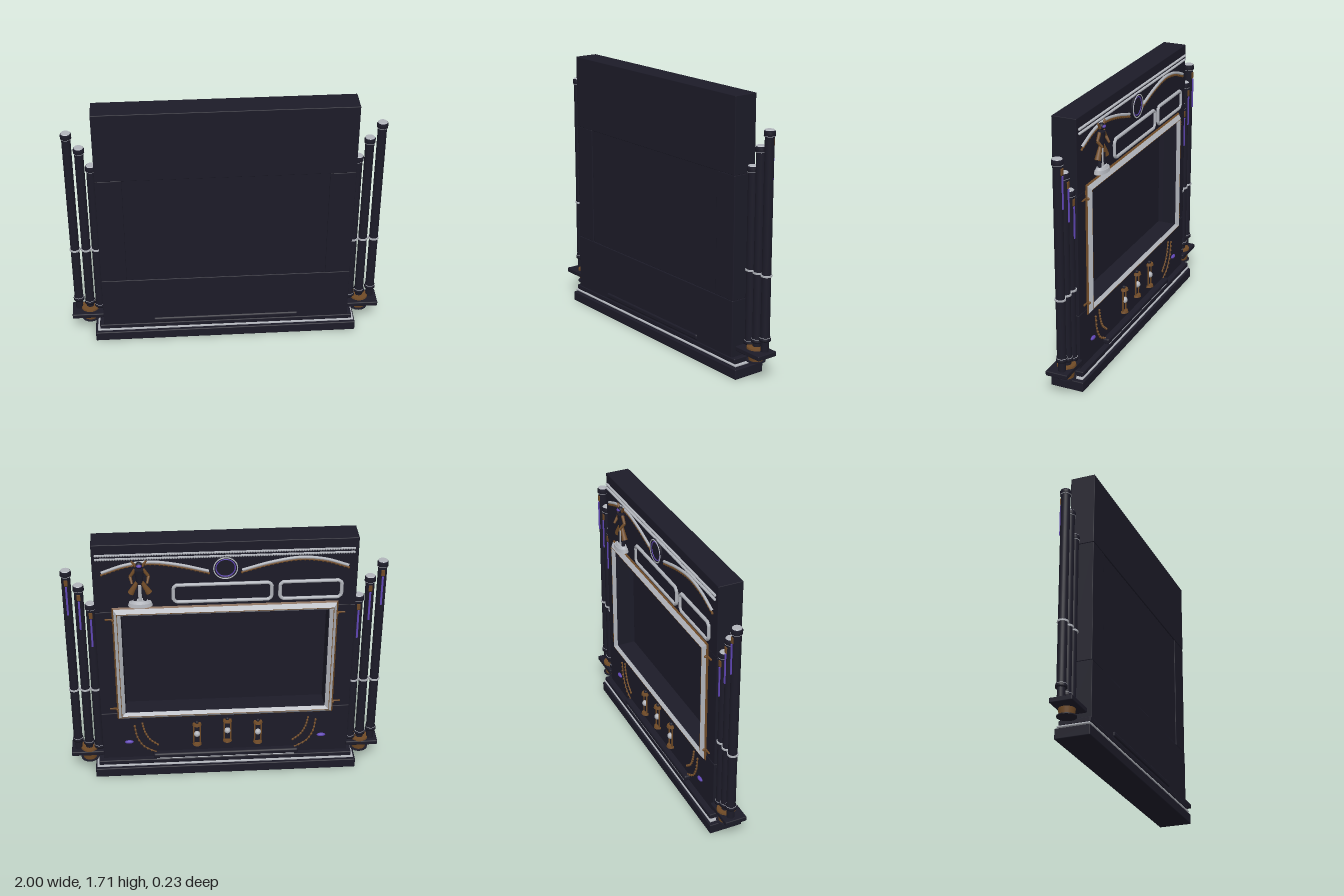
import * as THREE from 'three';
import { mergeGeometries } from 'three/addons/utils/BufferGeometryUtils.js';
import { RoundedBoxGeometry } from 'three/addons/geometries/RoundedBoxGeometry.js';

const mat = (name, hex) => {
  const m = new THREE.MeshStandardMaterial({ color: hex });
  m.name = name;
  return m;
};
const dark = mat('dark casing', 0x1c1b28);
const silver = mat('silver trim', 0xb0b3ba);
const copper = mat('copper trim', 0x6f4a26);
const purple = mat('purple glow', 0x5f45b4);
const V = (x, y, z) => new THREE.Vector3(x, y, z);

export function createModel() {
  const model = new THREE.Group();
  const add = (name, geo, m, x = 0, y = 0, z = 0, parent = model) => {
    const mesh = new THREE.Mesh(geo, m);
    mesh.name = name;
    mesh.position.set(x, y, z);
    parent.add(mesh);
    return mesh;
  };
  // rounded box given by its limits
  const box = (name, m, x0, x1, y0, y1, z0, z1, r = 0.004, parent = model) =>
    add(name, new RoundedBoxGeometry(x1 - x0, y1 - y0, z1 - z0, 2, r), m,
      (x0 + x1) / 2, (y0 + y1) / 2, (z0 + z1) / 2, parent);
  const tube = (name, m, pts, r) =>
    add(name, new THREE.TubeGeometry(new THREE.CatmullRomCurve3(pts), 32, r, 8), m);
  const beads = (name, m, pts, count, r) => {
    const list = new THREE.CatmullRomCurve3(pts).getSpacedPoints(count).map(p =>
      new THREE.SphereGeometry(r, 7, 5).translate(p.x, p.y, p.z));
    return add(name, mergeGeometries(list), m);
  };
  const rod = (name, m, a, b, r0, r1, parent) => {
    const mesh = add(name, new THREE.CylinderGeometry(r1, r0, a.distanceTo(b), 10), m, 0, 0, 0, parent);
    mesh.position.copy(a).lerp(b, 0.5);
    mesh.quaternion.setFromUnitVectors(V(0, 1, 0), b.clone().sub(a).normalize());
    return mesh;
  };

  // plinth
  box('plinth', dark, -0.855, 0.85, 0, 0.065, -0.1, 0.115, 0.006);
  box('plinthCore', dark, -0.82, 0.82, 0.06, 0.1, -0.08, 0.095);
  box('plinthSilverLine', silver, -0.84, 0.84, 0.076, 0.086, -0.094, 0.108, 0.003);
  box('plinthStep', dark, -0.825, 0.825, 0.09, 0.122, -0.09, 0.105, 0.006);
  box('plinthBar', dark, -0.475, 0.47, 0.128, 0.164, -0.092, 0.108, 0.012);
  box('plinthBarLine', silver, -0.45, 0.45, 0.122, 0.13, -0.088, -0.05, 0.003);

  // casing panels around the screen
  box('topPanel', dark, -0.798, 0.795, 1.24, 1.705, -0.055, 0.1);
  box('bottomPanel', dark, -0.798, 0.795, 0.1, 0.478, -0.055, 0.1);
  box('rightPanel', dark, -0.798, -0.635, 0.478, 1.24, -0.053, 0.098);
  box('leftPanel', dark, 0.635, 0.795, 0.478, 1.24, -0.053, 0.098);
  box('screen', dark, -0.636, 0.636, 0.476, 1.242, 0.055, 0.093);

  // screen frame: sloped rectangular rings facing the back
  const ring = (name, m, w0, h0, z0, w1, h1, z1) => {
    const pos = [];
    const c = [[-1, -1], [1, -1], [1, 1], [-1, 1]];
    for (let i = 0; i < 4; i++) {
      const [p, q] = [c[i], c[(i + 1) % 4]];
      const a = [p[0] * w0, p[1] * h0, z0], b = [q[0] * w0, q[1] * h0, z0];
      const a1 = [p[0] * w1, p[1] * h1, z1], b1 = [q[0] * w1, q[1] * h1, z1];
      pos.push(...a, ...a1, ...b1, ...a, ...b1, ...b);
    }
    const g = new THREE.BufferGeometry();
    g.setAttribute('position', new THREE.Float32BufferAttribute(pos, 3));
    g.computeVertexNormals();
    return add(name, g, m, 0, 0.854, 0);
  };
  ring('frameBase', copper, 0.692, 0.42, -0.054, 0.682, 0.41, -0.064);
  ring('frameOuterSlope', silver, 0.682, 0.41, -0.064, 0.664, 0.386, -0.085);
  ring('frameRidge', copper, 0.664, 0.386, -0.085, 0.66, 0.382, -0.085);
  ring('frameInnerSlope', silver, 0.66, 0.382, -0.085, 0.638, 0.364, -0.066);
  ring('frameReturn', dark, 0.638, 0.364, -0.066, 0.634, 0.364, 0.056);
  for (const s of [-1, 1]) for (const y of [0.52, 1.19]) {
    box('frameClip', copper, s * 0.712 - 0.024, s * 0.712 + 0.024, y - 0.004, y + 0.004, -0.062, -0.05, 0.002);
    add('frameBolt', new THREE.SphereGeometry(0.009, 10, 8), copper, s * 0.688, y, -0.07);
  }

  // beaded rails along the top
  for (const y of [1.638, 1.612]) {
    box('topRail', silver, -0.77, 0.77, y - 0.005, y + 0.005, -0.062, -0.05, 0.002);
    beads('topRailBeads', silver, [V(-0.77, y, -0.062), V(0.77, y, -0.062)], 100, 0.008);
  }
  // arched garlands on both sides of the medallion
  for (const s of [-1, 1]) {
    const arch = dy => [[0.74, 1.52], [0.6, 1.568], [0.45, 1.585], [0.28, 1.56], [0.1, 1.51]]
      .map(([x, y]) => V(s * x, y + dy, -0.06));
    tube('garlandBand', silver, arch(0.003), 0.009);
    tube('garlandStem', copper, arch(-0.011), 0.006);
    beads('garlandLeaves', copper, arch(-0.013), 24, 0.008);
  }

  // medallion
  const disc = add('medallion', new THREE.CylinderGeometry(0.07, 0.07, 0.02, 32), dark, 0, 1.535, -0.058);
  disc.rotation.x = Math.PI / 2;
  add('medallionRim', new THREE.TorusGeometry(0.07, 0.01, 8, 32), dark, 0, 1.535, -0.065);
  add('medallionRing', new THREE.TorusGeometry(0.071, 0.004, 8, 32), silver, 0, 1.535, -0.073);
  add('medallionGlow', new THREE.TorusGeometry(0.058, 0.004, 8, 32), purple, 0, 1.535, -0.068);

  // two framed display plates
  for (const [x0, x1] of [[-0.28, 0.315], [-0.705, -0.33]]) {
    const [y0, y1, c] = [1.305, 1.422, 0.018];
    box('displayPlate', dark, x0, x1, y0, y1, -0.06, -0.05);
    const pts = [[x0 + c, y0], [x1 - c, y0], [x1, y0 + c], [x1, y1 - c], [x1 - c, y1], [x0 + c, y1], [x0, y1 - c], [x0, y0 + c]];
    const path = new THREE.CurvePath();
    pts.forEach(([x, y], i) => {
      const [u, v] = pts[(i + 1) % 8];
      path.add(new THREE.LineCurve3(V(x, y, -0.062), V(u, v, -0.062)));
    });
    add('displayFrame', new THREE.TubeGeometry(path, 120, 0.011, 8, true), silver);
  }

  // small figurine on a silver stand
  const fig = new THREE.Group();
  fig.name = 'figurine';
  fig.position.set(0.515, 1.3, -0.075);
  model.add(fig);
  add('figurineStand', new THREE.CylinderGeometry(0.068, 0.075, 0.022, 24).scale(1, 1, 0.55), silver, 0, 0.01, 0, fig);
  add('figurineStep', new THREE.CylinderGeometry(0.045, 0.06, 0.014, 24).scale(1, 1, 0.55), silver, 0, 0.028, 0, fig);
  for (const s of [-1, 1]) {
    rod('figurineLeg', dark, V(s * 0.03, 0.034, 0), V(s * 0.022, 0.11, 0), 0.012, 0.012, fig);
    rod('figurineSkirt', copper, V(s * 0.055, 0.085, 0), V(s * 0.015, 0.16, 0), 0.02, 0.011, fig);
    rod('figurineForearm', copper, V(s * 0.055, 0.2, 0), V(s * 0.045, 0.165, -0.028), 0.01, 0.007, fig);
    rod('figurineUpperArm', copper, V(s * 0.025, 0.245, 0), V(s * 0.055, 0.2, 0), 0.011, 0.009, fig);
    rod('figurineHorn', copper, V(s * 0.02, 0.27, 0), V(s * 0.045, 0.305, 0), 0.009, 0.005, fig);
  }
  rod('figurineSpine', silver, V(0, 0.034, 0), V(0, 0.14, 0), 0.012, 0.01, fig);
  add('figurineBody', new THREE.CylinderGeometry(0.032, 0.016, 0.1, 12).scale(1, 1, 0.7), dark, 0, 0.195, 0, fig);
  add('figurineHead', new THREE.SphereGeometry(0.022, 14, 10), dark, 0, 0.275, 0, fig);
  add('figurineVisor', new THREE.SphereGeometry(0.013, 10, 8).scale(1.3, 0.8, 1), purple, 0, 0.277, -0.014, fig);

  // three lantern ornaments under the screen
  for (const [x, y] of [[0.185, 0.3], [-0.012, 0.32], [-0.21, 0.3]]) {
    for (const s of [-1, 1]) {
      add('lanternCap', new THREE.CylinderGeometry(0.026, 0.03, 0.014, 16), copper, x, y + s * 0.078, -0.062);
      rod('lanternPost', copper, V(x + s * 0.021, y - 0.078, -0.066), V(x + s * 0.021, y + 0.078, -0.066), 0.005, 0.005);
    }
    box('lanternBack', dark, x - 0.022, x + 0.022, y - 0.075, y + 0.075, -0.064, -0.05);
    add('lanternBall', new THREE.SphereGeometry(0.021, 14, 10), silver, x, y, -0.066);
    add('lanternKnob', new THREE.SphereGeometry(0.012, 10, 8), dark, x, y + 0.09, -0.062);
  }

  for (const s of [-1, 1]) {
    // curved copper sprigs and glowing gems in the lower corners
    const sprigs = [[[0.585, 0.375], [0.57, 0.285], [0.53, 0.21], [0.455, 0.16]],
      [[0.535, 0.395], [0.52, 0.325], [0.49, 0.265], [0.44, 0.22]]];
    for (const pts of sprigs) {
      tube('sprigStem', copper, pts.map(([x, y]) => V(s * x, y, -0.058)), 0.004);
      beads('sprigLeaves', copper, pts.map(([x, y]) => V(s * x, y, -0.06)), 9, 0.008);
    }
    add('cornerGem', new THREE.SphereGeometry(0.012, 12, 8).scale(2.4, 1, 1), purple, s * 0.625, 0.25, -0.06);

    // side shelf on a copper foot
    const side = new THREE.Group();
    side.name = s > 0 ? 'leftPipes' : 'rightPipes';
    model.add(side);
    const xs = [s * 0.79, s * 1].sort((a, b) => a - b);
    box('pipeShelf', dark, xs[0], xs[1], 0.157, 0.188, -0.07, 0.07, 0.006, side);
    add('shelfFoot', new THREE.CylinderGeometry(0.05, 0.044, 0.045, 24), copper, s * 0.885, 0.136, -0.012, side);
    add('shelfFootPlate', new THREE.CylinderGeometry(0.058, 0.058, 0.006, 24), dark, s * 0.885, 0.111, -0.012, side);
    add('shelfCollar', new THREE.CylinderGeometry(0.056, 0.058, 0.012, 24), copper, s * 0.885, 0.193, -0.012, side);

    // three upright pipes of rising height
    for (const [x, y0, y1] of [[0.82, 0.195, 1.29], [0.885, 0.225, 1.42], [0.955, 0.255, 1.525]]) {
      const shape = [[0, y0], [0.035, y0], [0.035, y0 + 0.012], [0.028, y0 + 0.035], [0.028, y1 - 0.045], [0.034, y1 - 0.035],
        [0.034, y1 - 0.012], [0.03, y1 - 0.003], [0, y1 - 0.003]].map(([r, y]) => new THREE.Vector2(r, y));
      add('pipe', new THREE.LatheGeometry(shape, 20), dark, s * x, 0, -0.017, side);
      rod('pipeStub', dark, V(s * x, 0.18, -0.017), V(s * x, y0 + 0.01, -0.017), 0.024, 0.024, side);
      add('pipeTop', new THREE.CylinderGeometry(0.026, 0.03, 0.005, 20), silver, s * x, y1 - 0.001, -0.017, side);
      for (const [y, r] of [[y0 + 0.022, 0.033], [y1 - 0.036, 0.0345]])
        add('pipeBand', new THREE.CylinderGeometry(r, r, 0.003, 20), silver, s * x, y, -0.017, side);
      add('pipeRing', new THREE.CylinderGeometry(0.034, 0.034, 0.011, 20), silver, s * x, 0.66, -0.017, side);
      box('pipeGlow', purple, s * x - 0.006, s * x + 0.006, y1 - 0.3, y1 - 0.1, -0.051, -0.043, 0.002, side);
      box('pipeMouth', copper, s * x - 0.011, s * x + 0.011, y1 - 0.095, y1 - 0.055, -0.049, -0.041, 0.002, side);
    }
  }
  return model;
}
